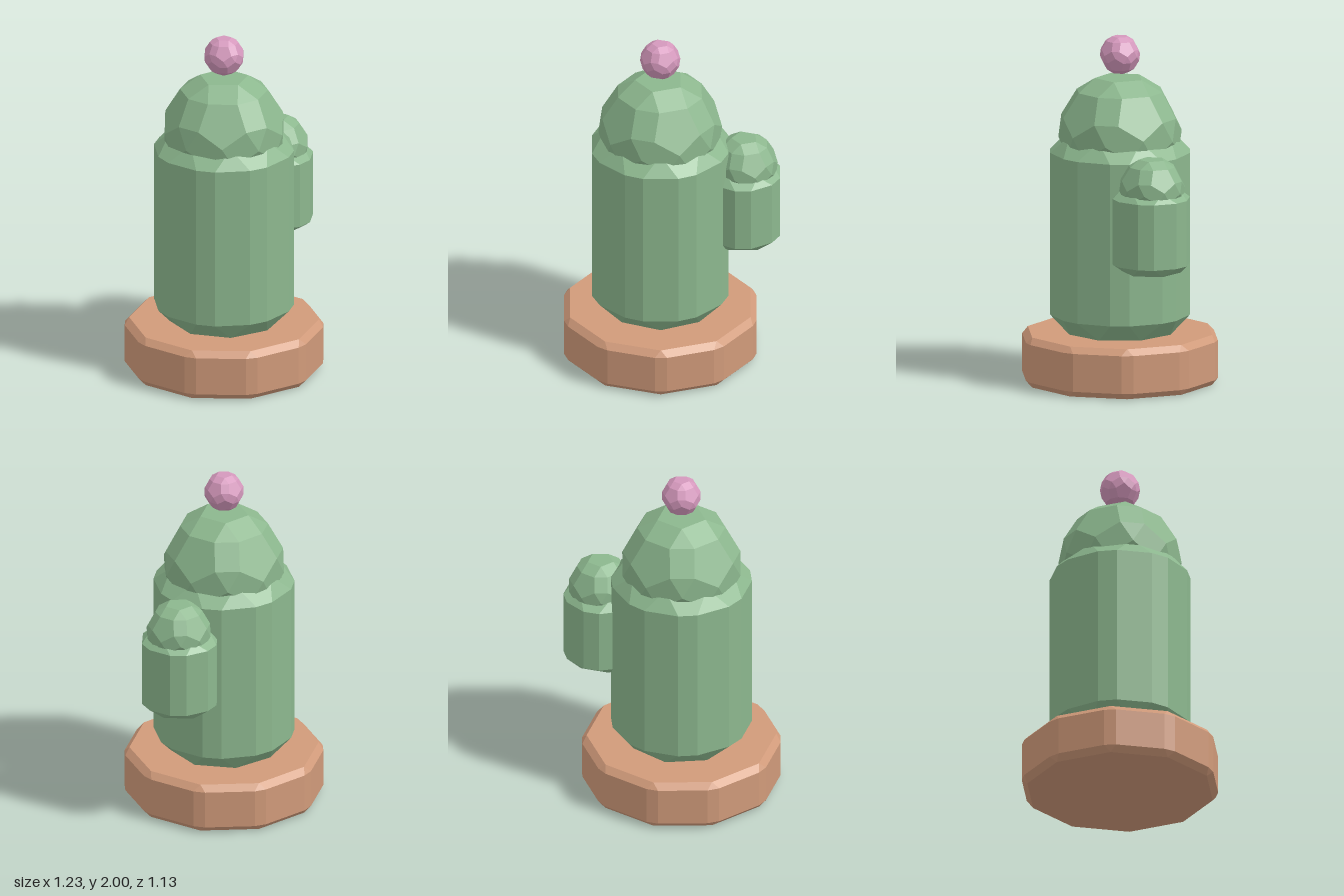
import * as THREE from 'three';
import { ConvexGeometry } from 'three/addons/geometries/ConvexGeometry.js';

const mat = (name, color) => {
  const m = new THREE.MeshStandardMaterial({ color });
  m.name = name;
  return m;
};

// Chamfered prism: n corners on the caps, each split in two (+-spread degrees) on the wall
function chamferedPrism(n, capR, wallR, spread, bottom, top, chamfer) {
  const pts = [];
  const add = (deg, r, y) => {
    const a = THREE.MathUtils.degToRad(deg);
    pts.push(new THREE.Vector3(Math.sin(a) * r, y, Math.cos(a) * r));
  };
  const start = n === 6 ? 90 : 0;
  for (let i = 0; i < n; i++) {
    const a = start + (i * 360) / n;
    for (const y of [bottom, top]) add(a, capR, y);
    for (const y of [bottom + chamfer, top - chamfer]) {
      add(a - spread, wallR, y);
      add(a + spread, wallR, y);
    }
  }
  return new ConvexGeometry(pts);
}

// Icosahedron with every edge bevelled: a pentagon of points around each of its 12 corners
function bevelledBall(radius) {
  const corners = [new THREE.Vector3(0, 1, 0), new THREE.Vector3(0, -1, 0)];
  const h = 1 / Math.sqrt(5), r = 2 * h;
  for (let i = 0; i < 5; i++) {
    const a = (i * Math.PI * 2) / 5;
    const v = new THREE.Vector3(Math.cos(a) * r, h, Math.sin(a) * r);
    corners.push(v, v.clone().negate());
  }
  const linked = (a, b) => a !== b && a.dot(b) > 0.4;
  const tilt = THREE.MathUtils.degToRad(24.06);
  const pts = [];
  for (const a of corners) {
    const near = corners.filter((b) => linked(a, b));
    for (let i = 0; i < 5; i++) for (let j = i + 1; j < 5; j++) {
      if (!linked(near[i], near[j])) continue;
      // step from the corner towards the middle of one of its faces
      const dir = near[i].clone().add(near[j]);
      dir.addScaledVector(a, -dir.dot(a)).normalize();
      pts.push(a.clone().multiplyScalar(Math.cos(tilt))
        .addScaledVector(dir, Math.sin(tilt)).multiplyScalar(radius));
    }
  }
  return new ConvexGeometry(pts);
}

export function createModel() {
  const clay = mat('clay', 0xd09a7a);
  const green = mat('cactus green', 0x8cb78e);
  const pink = mat('blossom pink', 0xd498bc);
  const model = new THREE.Group();
  model.name = 'pottedCactus';
  const add = (name, geometry, material, x, y = 0) => {
    const mesh = new THREE.Mesh(geometry, material);
    mesh.name = name;
    mesh.position.set(x, y, 0);
    model.add(mesh);
  };
  const cx = -0.07;

  // Pot and main stem
  add('pot', chamferedPrism(10, 0.54, 0.566, 3.5, 0, 0.29, 0.035), clay, cx);
  add('trunk', chamferedPrism(8, 0.31, 0.402, 14.5, 0.288, 1.44, 0.106), green, cx);
  add('trunkDome', bevelledBall(0.353), green, cx, 1.4375);

  // Side arm
  add('arm', chamferedPrism(6, 0.168, 0.2235, 18, 0.72, 1.2, 0.05), green, 0.4);
  add('armDome', bevelledBall(0.188), green, 0.412, 1.203);

  // Blossom
  add('flower', bevelledBall(0.115), pink, cx, 1.895);
  return model;
}
